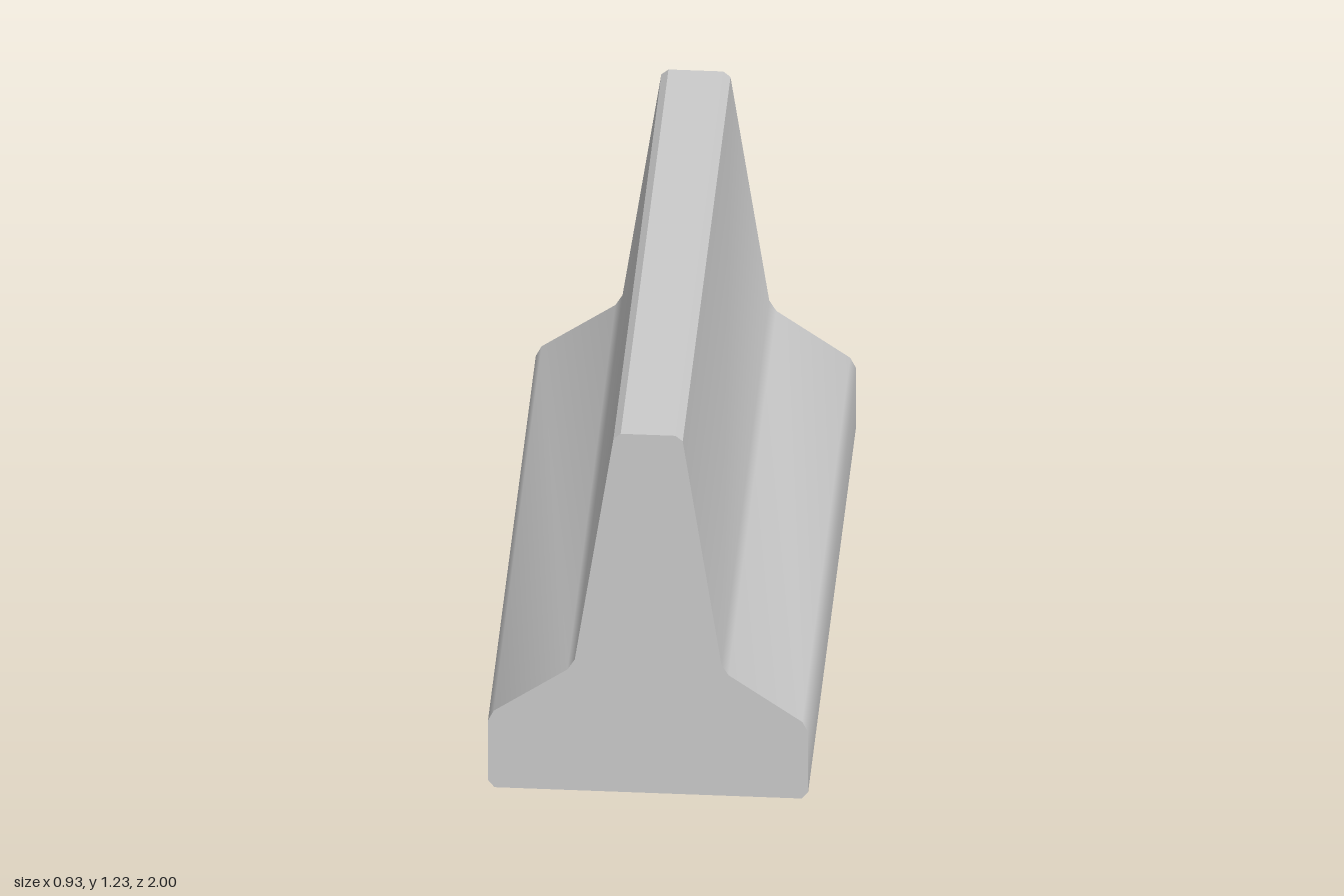
import * as THREE from 'three';
import { toCreasedNormals } from 'three/addons/utils/BufferGeometryUtils.js';

export function createModel() {
  const group = new THREE.Group();
  group.name = 'roadBarrier';

  // Right half of the cross-section, from the foot up to the crown
  const half = [
    [0.448, 0], [0.467, 0.024], // foot chamfer
    [0.467, 0.229], [0.45, 0.263], // shoulder
    [0.235, 0.414], [0.214, 0.449], // waist
    [0.101, 1.212], [0.08, 1.23], // crown chamfer
  ];
  const mirrored = half.map(([x, y]) => [-x, y]).reverse();
  const profile = new THREE.Shape([...half, ...mirrored].map(([x, y]) => new THREE.Vector2(x, y)));

  // Extrude along z; the shallow bends shade smoothly, the chamfers stay sharp
  const length = 2;
  const extruded = new THREE.ExtrudeGeometry(profile, { depth: length, bevelEnabled: false });
  extruded.translate(0, 0, -length / 2);
  const geometry = toCreasedNormals(extruded, THREE.MathUtils.degToRad(33));

  const barrier = new THREE.Mesh(geometry, new THREE.MeshStandardMaterial({ color: 0xcccccc }));
  barrier.name = 'concreteBody';
  group.add(barrier);
  return group;
}
